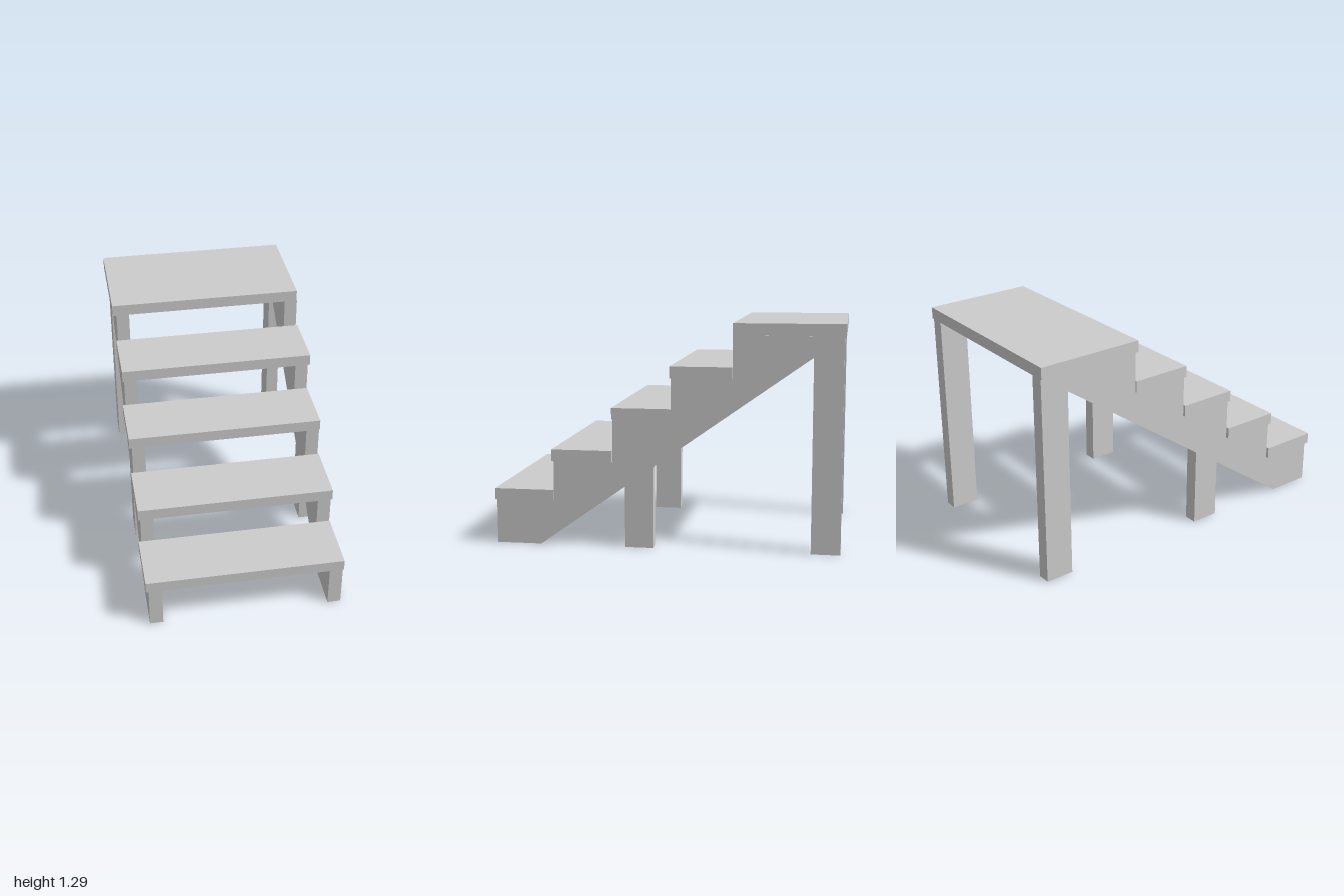
import * as THREE from 'three';

const material = new THREE.MeshStandardMaterial({ color: 0xcccccc, flatShading: true, side: THREE.DoubleSide });

// Removes the faces lying on the ground, leaving the hollow posts open below.
function openBottom(geometry) {
  const flat = geometry.index ? geometry.toNonIndexed() : geometry;
  const p = flat.attributes.position;
  const kept = [];
  for (let i = 0; i < p.count; i += 3) {
    if (Math.max(p.getY(i), p.getY(i + 1), p.getY(i + 2)) < 1e-4) continue;
    for (let k = i; k < i + 3; k++) kept.push(p.getX(k), p.getY(k), p.getZ(k));
  }
  const open = new THREE.BufferGeometry();
  open.setAttribute('position', new THREE.Float32BufferAttribute(kept, 3));
  open.computeVertexNormals();
  return open;
}

function boxBetween([x0, x1], [y0, y1], [z0, z1]) {
  return new THREE.BoxGeometry(x1 - x0, y1 - y0, z1 - z0)
    .translate((x0 + x1) / 2, (y0 + y1) / 2, (z0 + z1) / 2);
}

export function createModel() {
  const model = new THREE.Group();
  model.name = 'stairs';
  const add = (name, geometry) => {
    const mesh = new THREE.Mesh(geometry, material);
    mesh.name = name;
    model.add(mesh);
  };

  // Steps from the lowest tread to the landing: x, y and z ranges
  const steps = [
    [[-0.566, 0.563], [0.255, 0.32], [0.65, 1.0]],
    [[-0.563, 0.566], [0.49, 0.557], [0.31, 0.66]],
    [[-0.566, 0.563], [0.737, 0.803], [-0.035, 0.31]],
    [[-0.56, 0.57], [0.977, 1.044], [-0.38, -0.027]],
    [[-0.573, 0.557], [1.22, 1.287], [-1.0, -0.38]],
  ];
  steps.forEach(([x, y, z], i) => add(i < 4 ? `tread${i + 1}` : 'landing', boxBetween(x, y, z)));

  // Sawtooth stringer profile in (z, y), following the undersides of the steps
  const fronts = [0.99, 0.65, 0.305, -0.035, -0.38];
  const profile = [new THREE.Vector2(0.73, 0), new THREE.Vector2(0.99, 0)];
  steps.forEach(([, y], i) => {
    profile.push(new THREE.Vector2(fronts[i], y[0]));
    profile.push(new THREE.Vector2(i < 4 ? fronts[i + 1] : -0.99, y[0]));
  });
  const shape = new THREE.Shape(profile);

  // Stringer and legs on each side
  const sides = { left: [0.484, 0.56], right: [-0.55, -0.474] };
  for (const [side, x] of Object.entries(sides)) {
    const stringer = new THREE.ExtrudeGeometry(shape, { depth: x[1] - x[0], bevelEnabled: false });
    stringer.rotateY(-Math.PI / 2).translate(x[1], 0, 0);
    add(`${side}Stringer`, openBottom(stringer));
    add(`${side}MiddleLeg`, openBottom(boxBetween(x, [0, 0.48], [0.07, 0.235])));
    add(`${side}BackLeg`, openBottom(boxBetween(x, [0, 1.22], [-0.99, -0.825])));
  }
  return model;
}
